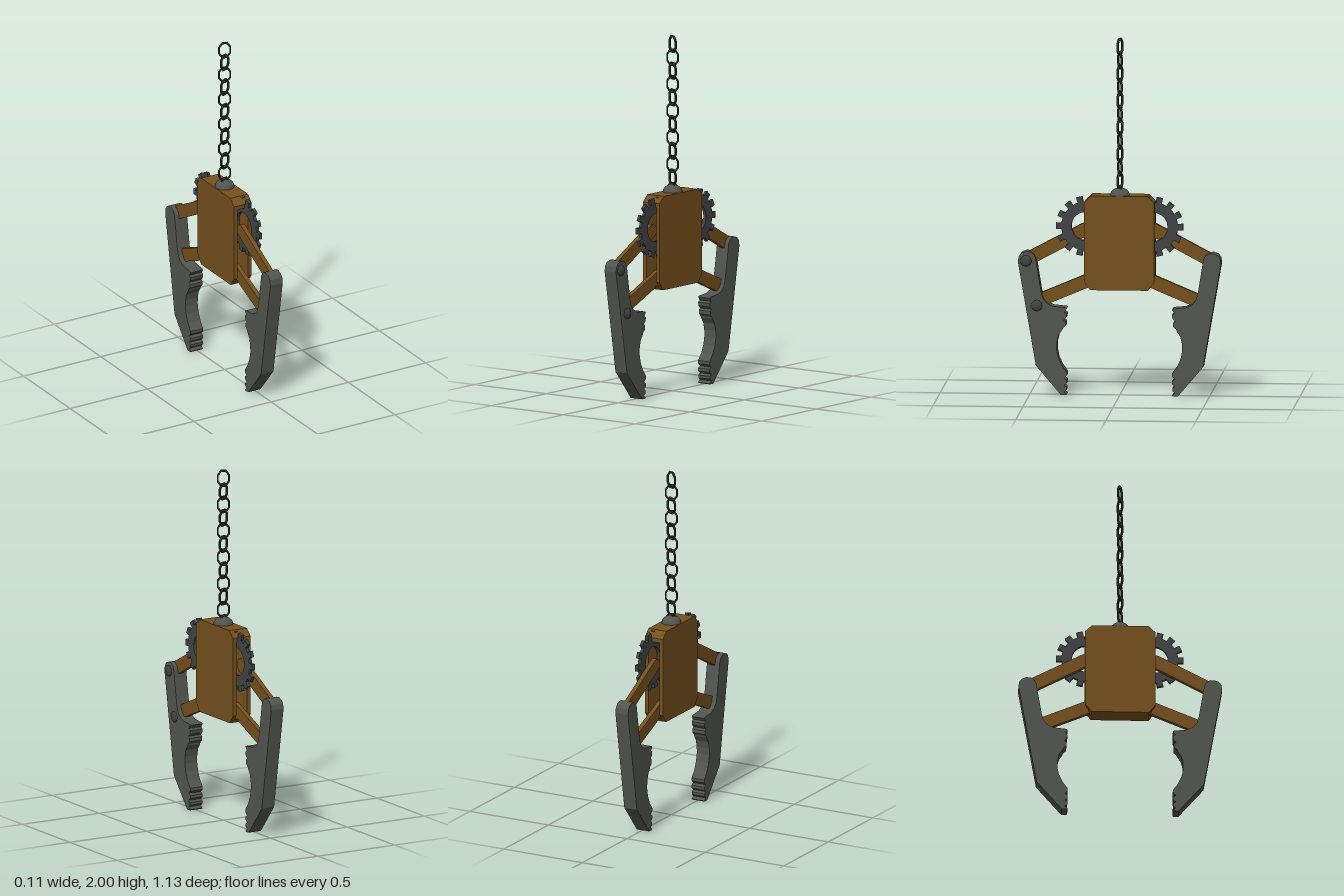
import * as THREE from 'three';

const mat = (color) => new THREE.MeshStandardMaterial({ color, flatShading: true });

// Extrude a (z, y) outline across x, from x0 to x1
function slab(shape, x0, x1, material, name) {
  const geo = new THREE.ExtrudeGeometry(shape, { depth: x1 - x0, bevelEnabled: false, curveSegments: 10 });
  geo.rotateY(-Math.PI / 2);
  geo.translate(x1, 0, 0);
  const mesh = new THREE.Mesh(geo, material);
  mesh.name = name;
  return mesh;
}

const outline = (pts) => new THREE.Shape(pts.map(([z, y]) => new THREE.Vector2(z, y)));

// Bar with round ends between two pivots
function barShape([z0, y0], [z1, y1], r) {
  const a = Math.atan2(y1 - y0, z1 - z0);
  const s = new THREE.Shape();
  s.absarc(z1, y1, r, a - Math.PI / 2, a + Math.PI / 2, false);
  s.absarc(z0, y0, r, a + Math.PI / 2, a + Math.PI * 1.5, false);
  s.closePath();
  return s;
}

// Toothed ring
function gearShape(cz, cy, teeth, root, tip, bore) {
  const pts = [];
  const step = (Math.PI * 2) / teeth;
  for (let i = 0; i < teeth; i++) {
    for (const [f, r] of [[-0.27, root], [-0.24, tip], [0.24, tip], [0.27, root], [0.5, root]]) {
      const a = (i + f) * step;
      pts.push([cz + r * Math.cos(a), cy + r * Math.sin(a)]);
    }
  }
  const s = outline(pts);
  const hole = new THREE.Path();
  hole.absarc(cz, cy, bore, 0, Math.PI * 2, true);
  s.holes.push(hole);
  return s;
}

// Jaw with ridged grips above and below a round bite
function jawShape(m) {
  const pts = [
    [0.325, 0], [0.465, 0.165], [0.565, 0.745], [0.56, 0.775], [0.545, 0.793], [0.52, 0.802],
    [0.495, 0.8], [0.475, 0.785], [0.466, 0.765],
    [0.435, 0.575], [0.425, 0.54], [0.405, 0.515], [0.37, 0.497], [0.3, 0.49],
    [0.292, 0.485], [0.305, 0.465], [0.292, 0.455], [0.295, 0.435], [0.31, 0.42],
    [0.298, 0.41], [0.298, 0.39], [0.315, 0.375], [0.318, 0.365],
    [0.338, 0.335], [0.348, 0.295], [0.349, 0.255], [0.34, 0.21], [0.32, 0.165], [0.292, 0.127],
    [0.292, 0.11], [0.308, 0.095], [0.292, 0.085], [0.292, 0.068], [0.308, 0.055],
    [0.294, 0.045], [0.294, 0.03], [0.308, 0.018], [0.292, 0.005], [0.295, 0],
  ];
  return outline(pts.map(([z, y]) => [z * m, y]));
}

export function createModel() {
  const model = new THREE.Group();
  model.name = 'grabberClaw';
  const brown = mat(0x75501d);
  const iron = mat(0x52554f);
  const darkIron = mat(0x424345);
  const chainIron = mat(0x303232);

  // Housing: two chamfered side plates joined at top and bottom
  const housing = new THREE.Group();
  housing.name = 'housing';
  const plate = outline([[-0.16, 0.593], [0.16, 0.593], [0.195, 0.64], [0.195, 1.083],
    [0.157, 1.12], [-0.157, 1.12], [-0.195, 1.083], [-0.195, 0.64]]);
  housing.add(slab(plate, 0.035, 0.057, brown, 'leftPlate'));
  housing.add(slab(plate, -0.057, -0.035, brown, 'rightPlate'));
  const cap = outline([[-0.195, 1.06], [0.195, 1.06], [0.195, 1.083], [0.157, 1.12], [-0.157, 1.12], [-0.195, 1.083]]);
  housing.add(slab(cap, -0.035, 0.035, brown, 'topBlock'));
  const base = outline([[-0.16, 0.593], [0.16, 0.593], [0.175, 0.613], [-0.175, 0.613]]);
  housing.add(slab(base, -0.035, 0.035, brown, 'bottomBlock'));
  model.add(housing);

  // Gears, linkage bars and jaws, mirrored front to back
  for (const m of [1, -1]) {
    const side = new THREE.Group();
    side.name = m > 0 ? 'frontClaw' : 'backClaw';
    side.add(slab(gearShape(m * 0.187, 0.947, 14, 0.137, 0.168, 0.08), 0.012, 0.03, darkIron, 'gear'));
    side.add(slab(barShape([m * 0.515, 0.755], [m * 0.195, 0.925], 0.037), -0.016, 0.01, brown, 'upperBar'));
    side.add(slab(barShape([m * 0.45, 0.525], [m * 0.13, 0.66], 0.037), -0.016, 0.01, brown, 'lowerBar'));
    side.add(slab(jawShape(m), -0.044, 0.036, iron, 'jaw'));
    model.add(side);
  }

  // Domed bolts on the front jaw
  for (const [z, y] of [[0.52, 0.75], [0.46, 0.5]]) {
    const bolt = new THREE.Mesh(new THREE.SphereGeometry(0.031, 16, 10), darkIron);
    bolt.name = 'bolt';
    bolt.scale.x = 0.42;
    bolt.position.set(0.036, y, z);
    model.add(bolt);
  }

  // Dome that anchors the chain
  const dome = new THREE.Mesh(new THREE.SphereGeometry(0.055, 20, 8, 0, Math.PI * 2, 0, Math.PI / 2), iron);
  dome.name = 'chainAnchor';
  dome.scale.y = 0.8;
  dome.position.y = 1.118;
  model.add(dome);

  // Chain of eight-sided links, twisted alternately
  const chain = new THREE.Group();
  chain.name = 'chain';
  const linkGeo = new THREE.TorusGeometry(0.0466, 0.0075, 6, 8);
  linkGeo.rotateZ(Math.PI / 8);
  linkGeo.scale(0.73, 1, 1);
  for (let i = 0; i < 12; i++) {
    const link = new THREE.Mesh(linkGeo, chainIron);
    link.name = 'chainLink';
    link.position.y = 1.95 - i * 0.075;
    link.rotation.y = i % 2 ? 0.36 : -0.36;
    chain.add(link);
  }
  model.add(chain);

  return model;
}
